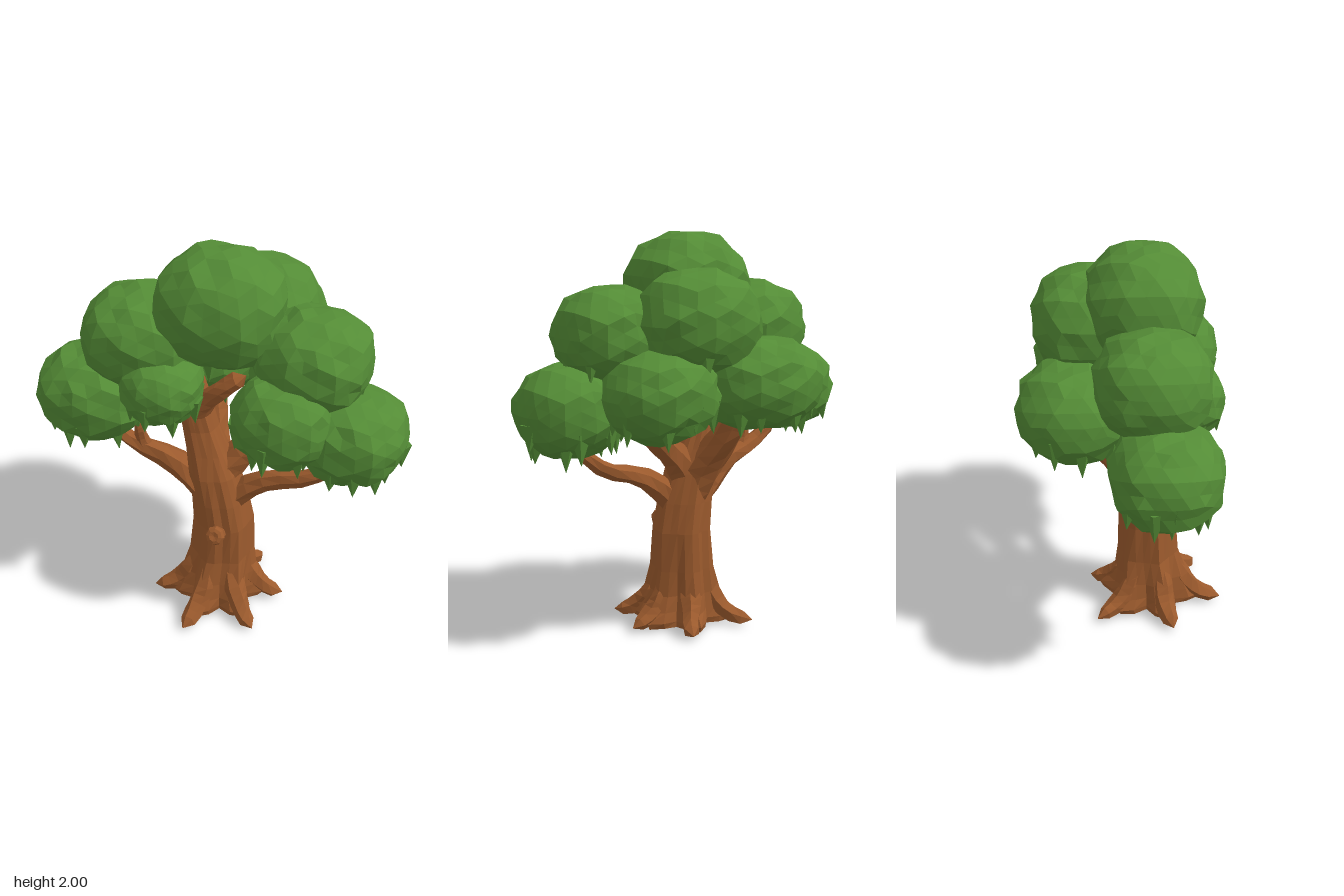
import * as THREE from 'three';
import { mergeGeometries } from 'three/addons/utils/BufferGeometryUtils.js';

const V = (x, y, z) => new THREE.Vector3(x, y, z);
const ROOTS = 6;
const ROOT_START = -0.22; // angle of the front root, measured from +z towards +x

function seeded(seed) {
  return () => {
    seed = (seed * 16807) % 2147483647;
    return seed / 2147483647;
  };
}

// Tapered limb: a tube whose rings follow a list of radii and close to a point
function limbGeometry(points, radii, sides = 7, steps = 8) {
  const curve = new THREE.CatmullRomCurve3(points.map((p) => V(...p)));
  const geo = new THREE.TubeGeometry(curve, steps, 1, sides, false);
  const pos = geo.attributes.position, nor = geo.attributes.normal;
  for (let i = 0; i < pos.count; i++) {
    const ring = Math.floor(i / (sides + 1));
    const side = (i % (sides + 1)) % sides;
    const u = ring / steps, f = u * (radii.length - 1);
    const a = Math.min(Math.floor(f), radii.length - 2);
    let r = THREE.MathUtils.lerp(radii[a], radii[a + 1], f - a);
    r *= 1 + 0.1 * Math.sin(side * 2.4 + ring * 1.3);
    if (ring === steps) r = 0;
    const c = curve.getPointAt(u);
    pos.setXYZ(i, c.x + nor.getX(i) * r, Math.max(0, c.y + nor.getY(i) * r), c.z + nor.getZ(i) * r);
  }
  geo.computeVertexNormals();
  return geo;
}

// Fluted trunk lofted through rings: y, centre x, centre z, radius, root lobe strength
function trunkGeometry() {
  const levels = [
    [0.01, 0, 0.15, 0.16, 0.6], [0.04, 0, 0.15, 0.165, 0.65], [0.09, 0, 0.15, 0.157, 0.5],
    [0.17, 0, 0.145, 0.148, 0.32], [0.3, 0.01, 0.13, 0.14, 0.17], [0.5, 0.015, 0.125, 0.135, 0.12],
    [0.65, -0.005, 0.125, 0.13, 0.1], [0.8, -0.035, 0.123, 0.12, 0.1], [0.92, -0.068, 0.118, 0.1, 0.1],
    [1.05, -0.105, 0.115, 0.083, 0.1], [1.2, -0.145, 0.115, 0.085, 0.1], [1.42, -0.18, 0.1, 0.05, 0.1],
  ];
  const n = ROOTS * 4, pos = [], idx = [];
  levels.forEach(([y, cx, cz, r, lobe], j) => {
    for (let i = 0; i < n; i++) {
      const a = ROOT_START + (i / n) * Math.PI * 2;
      const rr = r * (1 + lobe * (0.5 + 0.5 * Math.cos((i / 4) * Math.PI * 2)) + 0.03 * Math.sin(i * 2.7 + j));
      pos.push(cx + Math.sin(a) * rr, y, cz + Math.cos(a) * rr);
    }
  });
  for (let j = 0; j < levels.length - 1; j++) {
    for (let i = 0; i < n; i++) {
      const a = j * n + i, b = j * n + ((i + 1) % n);
      idx.push(a, b, b + n, a, b + n, a + n);
    }
  }
  // Ends
  const top = (levels.length - 1) * n, bottomCentre = pos.length / 3;
  pos.push(0, 0.04, 0.15, -0.18, 1.44, 0.1);
  for (let i = 0; i < n; i++) {
    const k = (i + 1) % n;
    idx.push(bottomCentre, k, i, bottomCentre + 1, top + i, top + k);
  }
  const geo = new THREE.BufferGeometry();
  geo.setAttribute('position', new THREE.Float32BufferAttribute(pos, 3));
  geo.setIndex(idx);
  geo.computeVertexNormals();
  return geo;
}

// Rough leaf clump with broad pointed leaves hanging from its underside
function clumpGeometry(rx, ry, rz, seed, leaves) {
  const rand = seeded(seed * 7919 + 13);
  const surface = (d) => {
    const e = 2.25;
    const norm = (Math.abs(d.x) ** e + Math.abs(d.y) ** e + Math.abs(d.z) ** e) ** (1 / e);
    const bump = 1
      + 0.015 * Math.sin(d.x * 4 + seed * 1.7) * Math.cos(d.z * 4 + seed)
      + 0.02 * Math.sin(d.y * 11 + d.x * 9 + seed * 2.3)
      + 0.03 * Math.sin(d.z * 19 + d.x * 15 - d.y * 17 + seed * 3.1);
    return V(d.x * rx, d.y * ry, d.z * rz).multiplyScalar(bump / norm);
  };
  const ball = new THREE.IcosahedronGeometry(1, 3);
  const pos = ball.attributes.position;
  for (let i = 0; i < pos.count; i++) {
    const p = surface(V(pos.getX(i), pos.getY(i), pos.getZ(i)).normalize());
    pos.setXYZ(i, p.x, p.y, p.z);
  }
  const parts = [ball];
  for (let i = 0; i < leaves; i++) {
    const a = (i / leaves) * Math.PI * 2 + rand() * 0.4;
    const y = -0.35 - rand() * 0.4, h = Math.sqrt(1 - y * y);
    const p = surface(V(Math.cos(a) * h, y, Math.sin(a) * h));
    const size = 0.12 + rand() * 0.05;
    const leaf = new THREE.ConeGeometry(0.055, size, 5).toNonIndexed();
    const dir = V(Math.cos(a) * 0.12, -1, Math.sin(a) * 0.12).normalize();
    leaf.applyQuaternion(new THREE.Quaternion().setFromUnitVectors(V(0, 1, 0), dir));
    leaf.translate(p.x * 0.9, p.y - size * 0.08, p.z * 0.9);
    parts.push(leaf);
  }
  const geo = mergeGeometries(parts);
  geo.computeVertexNormals();
  return geo;
}

export function createModel() {
  const bark = new THREE.MeshStandardMaterial({ color: 0x9b5a2d, flatShading: true });
  bark.name = 'bark brown';
  const leaf = new THREE.MeshStandardMaterial({ color: 0x548c36, flatShading: true });
  leaf.name = 'leaf green';

  const tree = new THREE.Group();
  tree.name = 'tree';
  const add = (name, geo, mat) => {
    const mesh = new THREE.Mesh(geo, mat);
    mesh.name = name;
    tree.add(mesh);
    return mesh;
  };

  add('trunk', trunkGeometry(), bark);

  // Roots around the foot: reach and sideways bend of each
  const roots = [[0.37, 0], [0.36, -0.03], [0.335, -0.14], [0.35, -0.19], [0.38, -0.14], [0.345, -0.02]];
  roots.forEach(([reach, bend], i) => {
    const a = ROOT_START + (i / ROOTS) * Math.PI * 2;
    const at = (r, y, turn) => [Math.sin(a + turn) * r, y, 0.15 + Math.cos(a + turn) * r];
    const points = [at(0.11, 0.25, 0), at(0.18, 0.11, bend / 2), at(0.27, 0.047, bend), at(reach, 0.028, bend)];
    add('root', limbGeometry(points, [0.04, 0.058, 0.048, 0.03], 6, 7), bark);
  });

  // Branches
  const branches = {
    lowerRightBranch: [[[-0.02, 0.6, 0.13], [-0.15, 0.74, 0.13], [-0.29, 0.83, 0.14], [-0.45, 0.89, 0.15], [-0.62, 1.02, 0.15]],
      [0.08, 0.08, 0.055, 0.04, 0.03]],
    lowerRightTwig: [[[-0.38, 0.87, 0.145], [-0.4, 0.93, 0.16], [-0.41, 1.05, 0.17]], [0.035, 0.03, 0.025]],
    lowerLeftBranch: [[[0.03, 0.6, 0.13], [0.13, 0.71, 0.13], [0.26, 0.8, 0.13], [0.46, 0.86, 0.12], [0.64, 1.0, 0.12]],
      [0.07, 0.06, 0.048, 0.038, 0.025]],
    upperLeftBranch: [[[-0.03, 0.72, 0.12], [0.07, 0.87, 0.09], [0.2, 0.98, 0.04], [0.38, 1.13, -0.03]],
      [0.09, 0.075, 0.058, 0.05]],
    backBranch: [[[-0.02, 0.66, 0.09], [-0.06, 0.84, 0.02], [-0.11, 1, -0.09], [-0.15, 1.2, -0.2]],
      [0.085, 0.085, 0.072, 0.06]],
    crownBranch: [[[-0.12, 1.1, 0.14], [-0.06, 1.22, 0.16], [0.03, 1.32, 0.17], [0.14, 1.41, 0.16]],
      [0.05, 0.05, 0.045, 0.04]],
  };
  for (const [name, [points, radii]] of Object.entries(branches)) {
    add(name, limbGeometry(points, radii), bark);
  }

  // Stub on the front of the trunk, tilted upwards
  const knotProfile = [[0.035, -0.06], [0.042, 0], [0.05, 0.03], [0.042, 0.05], [0.025, 0.056], [0, 0.05]];
  const knot = add('knot', new THREE.LatheGeometry(knotProfile.map((p) => new THREE.Vector2(...p)), 8), bark);
  knot.position.set(0.03, 0.505, 0.28);
  knot.rotation.x = 1.1;

  // Foliage: x, y, z, radii, number of hanging leaves
  const clumps = [
    ['crownClump', 0, 1.715, 0.09, 0.305, 0.28, 0.28, 4],
    ['upperRightClump', -0.385, 1.505, 0.115, 0.295, 0.24, 0.27, 6],
    ['upperLeftClump', 0.445, 1.52, 0.08, 0.27, 0.23, 0.265, 6],
    ['lowerRightClump', -0.635, 1.175, 0.165, 0.28, 0.225, 0.26, 11],
    ['lowerLeftClump', 0.645, 1.175, 0.125, 0.265, 0.225, 0.255, 11],
    ['frontLeftClump', 0.345, 1.285, 0.285, 0.235, 0.215, 0.205, 9],
    ['frontRightClump', -0.24, 1.34, 0.26, 0.195, 0.175, 0.195, 8],
    ['backCrownClump', 0.11, 1.585, -0.165, 0.305, 0.25, 0.27, 5],
    ['backRightClump', -0.195, 1.28, -0.24, 0.31, 0.225, 0.27, 9],
    ['backLeftClump', 0.335, 1.255, -0.185, 0.275, 0.22, 0.25, 9],
  ];
  clumps.forEach(([name, x, y, z, rx, ry, rz, leaves], i) => {
    add(name, clumpGeometry(rx, ry, rz, i + 1, leaves), leaf).position.set(x, y, z);
  });

  return tree;
}
